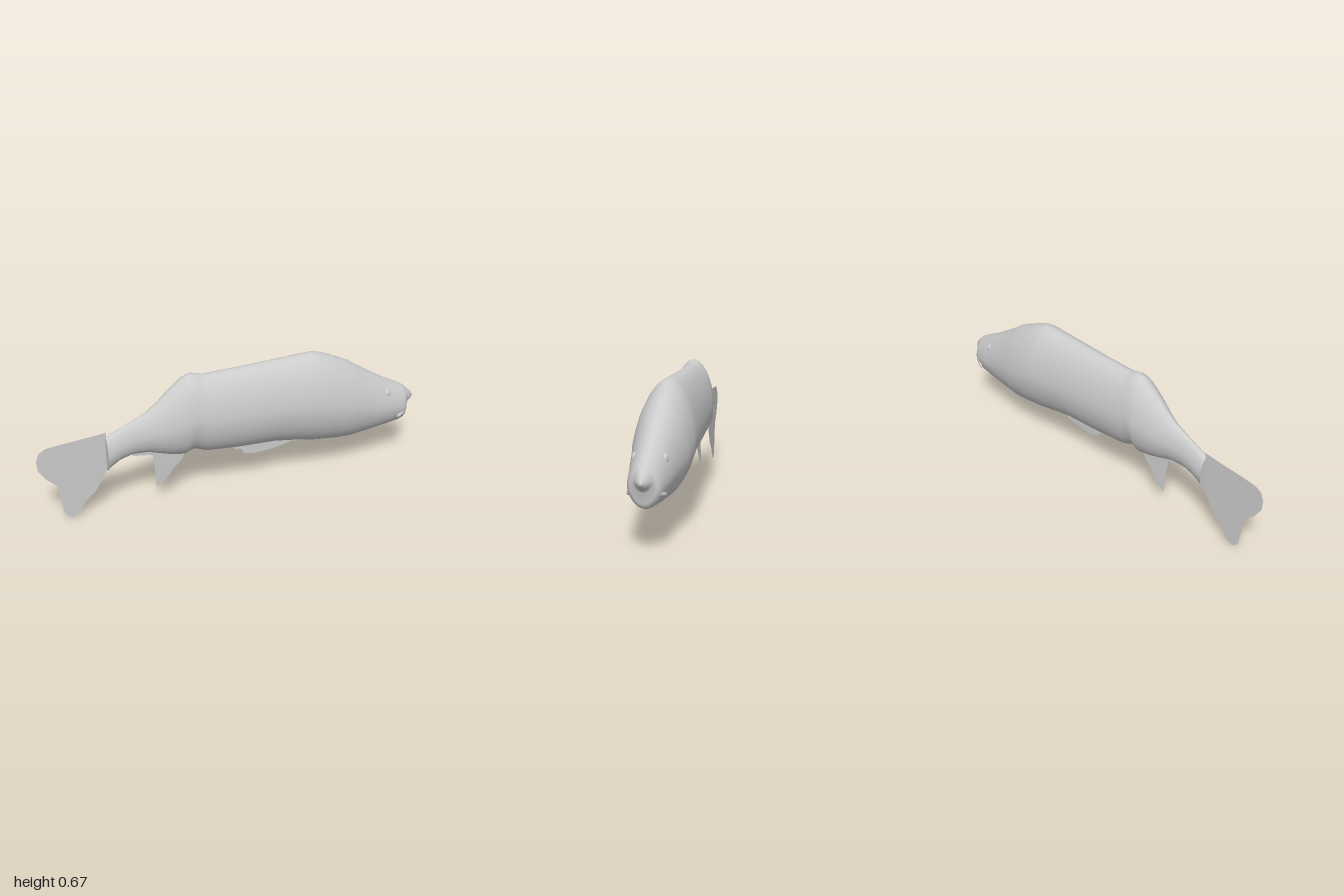
import * as THREE from 'three';

const skin = new THREE.MeshStandardMaterial({ color: 0xcccccc, side: THREE.DoubleSide });
skin.name = 'light grey';

// Body stations: x, top, bottom, half width
const STATIONS = [
  [-0.665, 0.405, 0.225, 0.041], [-0.65, 0.412, 0.24, 0.036], [-0.6, 0.436, 0.272, 0.036],
  [-0.54, 0.462, 0.29, 0.039], [-0.46, 0.498, 0.286, 0.05], [-0.4, 0.545, 0.267, 0.067],
  [-0.34, 0.6, 0.25, 0.085], [-0.28, 0.647, 0.24, 0.098], [-0.255, 0.658, 0.254, 0.1],
  [-0.23, 0.664, 0.26, 0.1], [-0.2, 0.656, 0.25, 0.105], [-0.17, 0.648, 0.237, 0.108],
  [0, 0.652, 0.222, 0.112], [0.2, 0.66, 0.215, 0.12], [0.3, 0.664, 0.2, 0.126],
  [0.4, 0.668, 0.181, 0.132], [0.43, 0.663, 0.177, 0.134], [0.5, 0.638, 0.17, 0.136],
  [0.52, 0.626, 0.168, 0.132], [0.55, 0.614, 0.165, 0.133], [0.61, 0.585, 0.163, 0.126],
  [0.65, 0.556, 0.167, 0.117], [0.72, 0.513, 0.174, 0.107], [0.82, 0.453, 0.187, 0.091],
  [0.9, 0.412, 0.199, 0.078], [0.925, 0.398, 0.207, 0.067], [0.933, 0.392, 0.228, 0.056],
  [0.938, 0.387, 0.278, 0.042], [0.955, 0.371, 0.29, 0.033], [0.975, 0.353, 0.304, 0.019],
  [0.99, 0.335, 0.319, 0.006],
];
const SIDES = 48;

// Loft of pointed ovals, closed at both ends
function bodyGeometry() {
  const pos = [], index = [];
  for (const [x, top, bottom, w] of STATIONS) {
    const mid = bottom + (top - bottom) * 0.46;
    for (let j = 0; j < SIDES; j++) {
      const a = (j / SIDES) * Math.PI * 2, c = Math.cos(a), s = Math.sin(a);
      const u = Math.sign(c) * Math.abs(c) ** 1.1, v = Math.sign(s) * Math.abs(s) ** 1.1;
      pos.push(x, mid + u * (c > 0 ? top - mid : mid - bottom), v * w);
    }
  }
  for (let i = 0; i < STATIONS.length - 1; i++) {
    for (let j = 0; j < SIDES; j++) {
      const k = (j + 1) % SIDES, a = i * SIDES + j, b = i * SIDES + k;
      index.push(a, b, a + SIDES, b, b + SIDES, a + SIDES);
    }
  }
  // Snout tip
  const last = (STATIONS.length - 1) * SIDES;
  pos.push(0.996, 0.325, 0);
  for (let j = 0; j < SIDES; j++) index.push(last + j, last + (j + 1) % SIDES, pos.length / 3 - 1);
  // Tail end cap, with its own vertices for a hard edge
  const cap = pos.length / 3;
  pos.push(-0.665, 0.315, 0, ...pos.slice(0, SIDES * 3));
  for (let j = 0; j < SIDES; j++) index.push(cap, cap + 1 + (j + 1) % SIDES, cap + 1 + j);
  const g = new THREE.BufferGeometry();
  g.setAttribute('position', new THREE.Float32BufferAttribute(pos, 3));
  g.setIndex(index);
  g.computeVertexNormals();
  return g;
}

// Flat fin sheet; lean shifts it sideways below its root height
function fin(name, outline, z, lean = 0, root = 0.25) {
  const g = new THREE.ShapeGeometry(new THREE.Shape(outline.map(([x, y]) => new THREE.Vector2(x, y))));
  const p = g.attributes.position;
  for (let i = 0; i < p.count; i++) p.setZ(i, z + lean * Math.max(0, root - p.getY(i)));
  g.computeVertexNormals();
  const m = new THREE.Mesh(g, skin);
  m.name = name;
  return m;
}

function ball(name, x, y, z, sx, sy, sz) {
  const m = new THREE.Mesh(new THREE.SphereGeometry(1, 20, 14), skin);
  m.name = name;
  m.position.set(x, y, z);
  m.scale.set(sx, sy, sz);
  return m;
}

export function createModel() {
  const fish = new THREE.Group();
  fish.name = 'fish';
  const body = new THREE.Mesh(bodyGeometry(), skin);
  body.name = 'body';
  fish.add(body);

  // Eyes and lip corners on both sides
  for (const [side, s] of [['left', 1], ['right', -1]]) {
    fish.add(ball(side + 'Eye', 0.805, 0.393, s * 0.064, 0.02, 0.024, 0.016));
    const lip = ball(side + 'Lip', 0.895, 0.265, s * 0.071, 0.035, 0.011, 0.008);
    lip.rotation.set(0, s * 0.4, 0.25);
    fish.add(lip);
  }

  fish.add(fin('tailFin', [
    [-0.66, 0.428], [-0.73, 0.42], [-0.79, 0.415], [-0.88, 0.408], [-0.95, 0.4], [-0.985, 0.38], [-1, 0.34],
    [-0.995, 0.29], [-0.96, 0.235], [-0.91, 0.19], [-0.9, 0.12], [-0.885, 0.03], [-0.865, 0.007],
    [-0.845, 0], [-0.81, 0.02], [-0.785, 0.07], [-0.73, 0.115], [-0.69, 0.18], [-0.665, 0.23],
  ], -0.005));
  fish.add(fin('analFin', [
    [-0.54, 0.31], [-0.54, 0.277], [-0.435, 0.262], [-0.425, 0.16], [-0.418, 0.073], [-0.375, 0.1],
    [-0.33, 0.16], [-0.285, 0.205], [-0.27, 0.25], [-0.28, 0.3],
  ], 0, -0.055));
  fish.add(fin('bellyFin', [
    [-0.01, 0.25], [-0.01, 0.203], [0.025, 0.198], [0.045, 0.168], [0.09, 0.157], [0.19, 0.162],
    [0.24, 0.17], [0.3, 0.186], [0.397, 0.174], [0.397, 0.22], [0.3, 0.25],
  ], -0.002));
  return fish;
}
